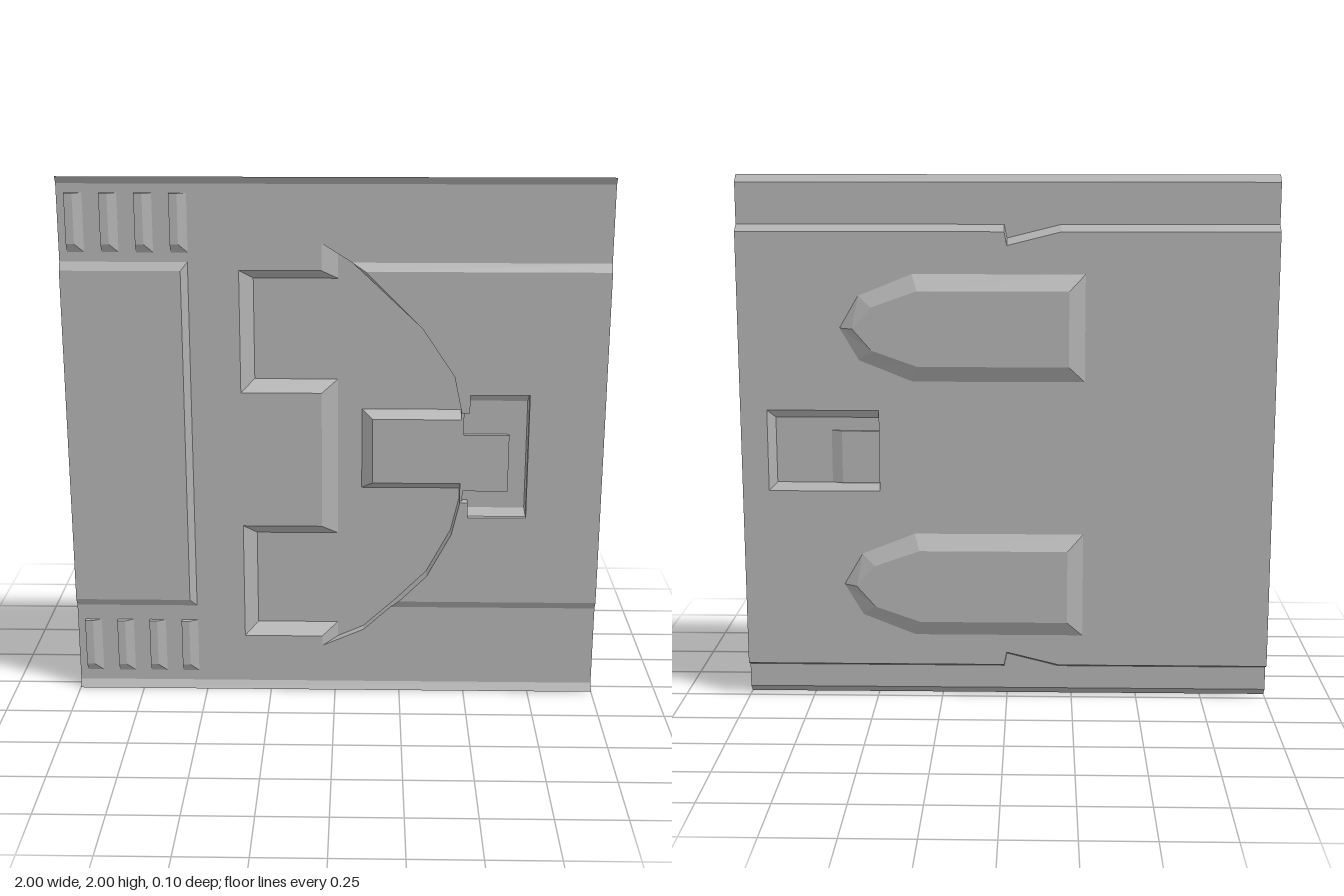
import * as THREE from 'three';

const panelGrey = new THREE.MeshStandardMaterial({ color: 0xb4b4b4 });
panelGrey.name = 'panelGrey';

// Depth levels of the pressed sheet
const LIP = 0.048, SHEET = 0.03, FLOOR = -0.008, BAND_BACK = 0.018, BACK = -0.015;

const toVectors = pts => pts.map(([x, y]) => new THREE.Vector2(x, y));
const rect = (x0, y0, x1, y1) => [[x0, y0], [x1, y0], [x1, y1], [x0, y1]];

// Sloped walls from a base outline to an end outline, closed by a cap.
// With z1 > z0 it is a raised form, with z1 < z0 a recess.
function pressing(name, base, end, z0, z1, holes = []) {
  const pos = [];
  base.forEach((a, i) => {
    const j = (i + 1) % base.length;
    const A = [...a, z0], B = [...base[j], z0], C = [...end[j], z1], D = [...end[i], z1];
    pos.push(...A, ...B, ...C, ...A, ...C, ...D);
  });
  const contour = toVectors(end), cuts = holes.map(h => toVectors(h).reverse());
  const all = [contour, ...cuts].flat();
  for (const tri of THREE.ShapeUtils.triangulateShape(contour, cuts)) {
    for (const k of tri) pos.push(all[k].x, all[k].y, z1);
  }
  const geo = new THREE.BufferGeometry();
  geo.setAttribute('position', new THREE.Float32BufferAttribute(pos, 3));
  geo.computeVertexNormals();
  const mesh = new THREE.Mesh(geo, panelGrey);
  mesh.name = name;
  return mesh;
}

// The same, pressed towards the rear
function rearPressing(name, base, end, z0, z1, holes = []) {
  const flip = pts => pts.map(([x, y]) => [-x, y]).reverse();
  const mesh = pressing(name, flip(base), flip(end), -z0, -z1, holes.map(flip));
  mesh.rotation.y = Math.PI;
  return mesh;
}

// Triangular lip running along the top or bottom edge
function lip(name, yEdge, yInner) {
  const shape = new THREE.Shape(toVectors([[-LIP, yEdge], [-SHEET, yInner], [-BAND_BACK, yInner]]));
  const geo = new THREE.ExtrudeGeometry(shape, { depth: 2, bevelEnabled: false });
  geo.rotateY(Math.PI / 2);
  geo.translate(-1, 0, 0);
  const mesh = new THREE.Mesh(geo, panelGrey);
  mesh.name = name;
  return mesh;
}

export function createModel() {
  const model = new THREE.Group();
  model.name = 'pressedPanel';

  // Half-round recess with two side pockets
  const lowerArc = [[0.35, 0.48], [0.44, 0.65], [0.47, 0.78]];
  const upperArc = [[0.47, 1.13], [0.44, 1.27], [0.32, 1.45]];
  const arc = [[0.11, 0.25], [0.23, 0.36], ...lowerArc, ...upperArc, [0.11, 1.66]];
  const recess = [[-0.05, 0.18], ...arc, [-0.05, 1.76], [-0.05, 1.66], [-0.35, 1.66], [-0.35, 1.2],
    [-0.05, 1.2], [-0.05, 0.675], [-0.35, 0.675], [-0.35, 0.22], [-0.05, 0.22]];
  const recessFloor = [[0.01, 0.205], ...arc, [0.01, 1.72], [0.01, 1.625], [-0.3, 1.625], [-0.3, 1.245],
    [0.01, 1.245], [0.01, 0.635], [-0.3, 0.635], [-0.3, 0.265], [0.01, 0.265]];
  const latchWindow = [[0.48, 0.78], [0.5, 0.78], [0.5, 0.72], [0.72, 0.72],
    [0.72, 1.2], [0.5, 1.2], [0.5, 1.13], [0.48, 1.13]];
  const latchFloor = [[0.48, 0.78], [0.5, 0.78], [0.5, 0.75], [0.715, 0.75],
    [0.715, 1.17], [0.5, 1.17], [0.5, 1.13], [0.48, 1.13]];

  // Main sheet, its edges and recesses
  const sheet = rect(-1, 0.03, 1, 1.973);
  model.add(
    pressing('frontSheet', sheet, sheet, BAND_BACK, SHEET, [recess, latchWindow]),
    pressing('halfRoundRecess', recess, recessFloor, SHEET, FLOOR),
    pressing('latchWindow', latchWindow, latchFloor, SHEET, 0.012),
    lip('topLip', 2, 1.973),
    lip('bottomLip', 0, 0.03),
  );

  // Raised panels left and right of the recess
  model.add(
    pressing('sidePanel', rect(-1, 0.345, -0.535, 1.69), rect(-1, 0.375, -0.56, 1.66), SHEET, LIP),
  );
  const around = [...upperArc].reverse().concat([[0.5, 1.13], [0.5, 1.2], [0.72, 1.2], [0.72, 0.72],
    [0.5, 0.72], [0.5, 0.78]], [...lowerArc].reverse());
  model.add(pressing('latchPanel',
    [[1, 0.345], [1, 1.69], [0.062, 1.69], ...around, [0.215, 0.345]],
    [[1, 0.375], [1, 1.66], [0.11, 1.66], ...around, [0.245, 0.375]], SHEET, LIP));

  // Latch tongue: ramp in the recess and tip in the window
  const tip = rect(0.47, 0.82, 0.65, 1.04);
  model.add(
    pressing('latchRamp', rect(0.1, 0.82, 0.47, 1.13), rect(0.14, 0.85, 0.47, 1.1), FLOOR, SHEET),
    pressing('latchTip', tip, tip, 0.012, SHEET),
  );

  // Two rows of four grip ribs
  for (const y of [0.07, 1.725]) {
    for (let i = 0; i < 4; i++) {
      const x = -0.97 + i * 0.125;
      model.add(pressing('gripRib', rect(x, y, x + 0.062, y + 0.215),
        rect(x, y + 0.032, x + 0.03, y + 0.215), SHEET, LIP));
    }
  }

  // Rear of the sheet and the thicker rear slab with notched edges
  const rearCatch = rect(0.48, 0.82, 0.9, 1.13);
  const slab = (yb, yt) => [[-1, yb], [-0.2, yb], [0, yb + 0.05], [0.01, yb], [1, yb],
    [1, yt], [0.01, yt], [0, yt - 0.05], [-0.2, yt], [-1, yt]];
  model.add(
    rearPressing('rearSheet', sheet, sheet, BAND_BACK, BAND_BACK, [rect(-0.9, 0.25, 0.95, 1.7)]),
    rearPressing('rearSlab', slab(0.12, 1.82), slab(0.135, 1.795), BAND_BACK, BACK, [rearCatch]),
    rearPressing('rearCatch', rearCatch, rect(0.48, 0.85, 0.87, 1.1), BACK, 0.006),
    rearPressing('rearCatchBlock', rect(0.48, 0.85, 0.66, 1.05), rect(0.48, 0.85, 0.62, 1.05), 0.006, -0.008),
  );

  // Two bullet-shaped rear runners
  const runner = [[-0.29, -0.2], [0.35, -0.2], [0.55, -0.12], [0.62, 0], [0.55, 0.12], [0.35, 0.2], [-0.29, 0.2]];
  const runnerTop = [[-0.23, -0.14], [0.33, -0.14], [0.5, -0.08], [0.57, 0], [0.5, 0.08], [0.33, 0.14], [-0.23, 0.14]];
  for (const y of [0.455, 1.44]) {
    const at = pts => pts.map(p => [p[0], p[1] + y]);
    model.add(rearPressing('rearRunner', at(runner), at(runnerTop), BACK, -LIP));
  }
  return model;
}
